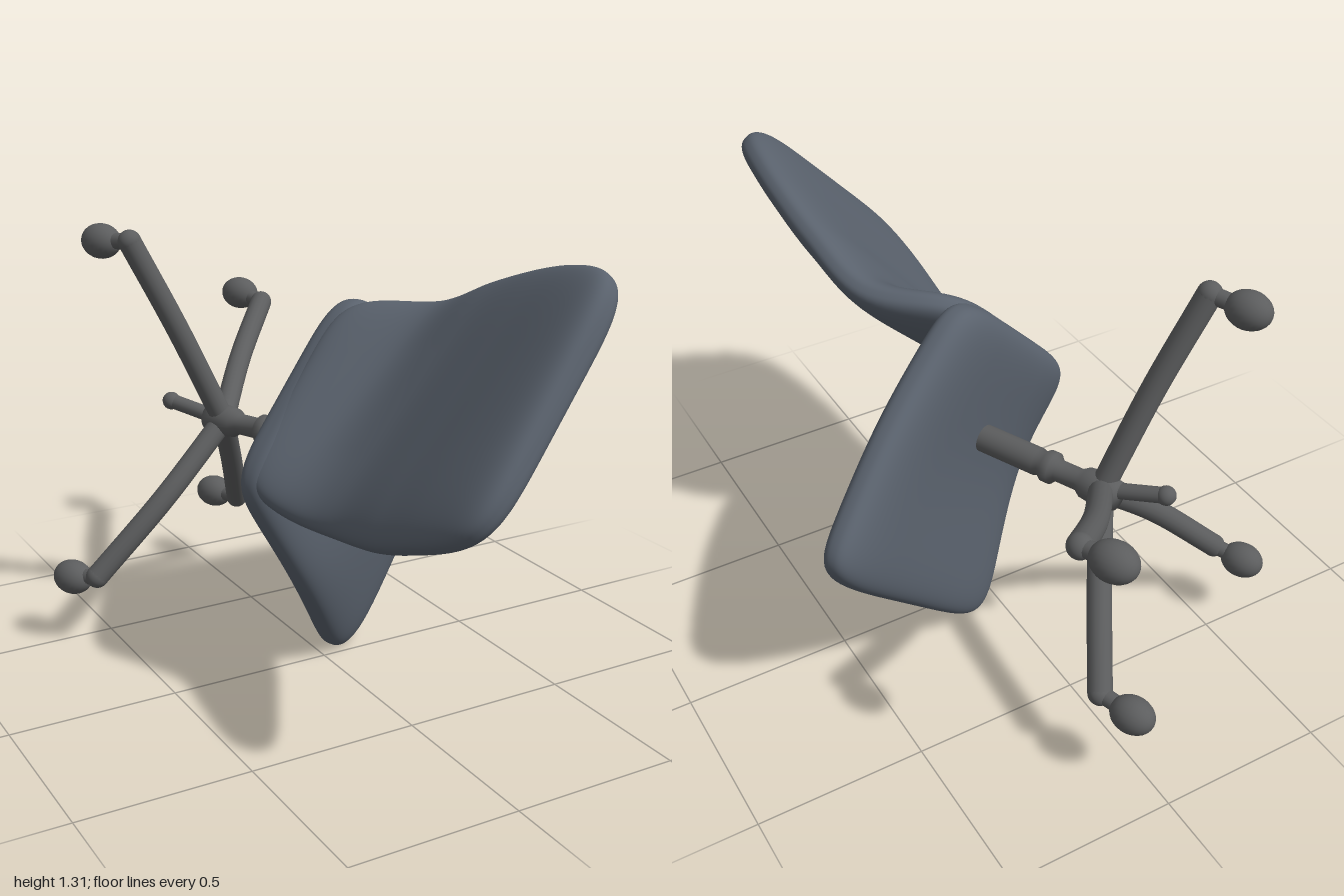
import * as THREE from 'three';

const V = (a) => new THREE.Vector3(...a);
const frameMat = new THREE.MeshStandardMaterial({ color: 0x5c5d5e });
const padMat = new THREE.MeshStandardMaterial({ color: 0x59616c });

// The chair lies tipped over: column axis runs from the hub towards the seat
const axis = new THREE.Vector3(0.4, -0.01, 0.9).normalize();
const hub = new THREE.Vector3(-0.12, 0.66, -0.43);
const axisTurn = new THREE.Quaternion().setFromUnitVectors(new THREE.Vector3(0, 1, 0), axis);

function add(group, name, geometry, material) {
  const mesh = new THREE.Mesh(geometry, material);
  mesh.name = name;
  group.add(mesh);
  return mesh;
}

// Rounded pad lofted between two edge curves; thick = [start, end] half thickness
function cushion(leftPts, rightPts, thick) {
  const left = new THREE.CatmullRomCurve3(leftPts.map(V));
  const right = new THREE.CatmullRomCurve3(rightPts.map(V));
  const mid = (u) => left.getPoint(u).lerp(right.getPoint(u), 0.5);
  const pow = (x, p) => Math.sign(x) * Math.abs(x) ** p;
  const rows = 64, cols = 80, pos = [], index = [];
  for (let i = 0; i <= rows; i++) {
    const v = -Math.cos((Math.PI * i) / rows), u = (v + 1) / 2;
    const edge = Math.max(0, 1 - Math.abs(v) ** 10);
    const half = right.getPoint(u).sub(left.getPoint(u)).multiplyScalar(0.5);
    const along = mid(Math.min(1, u + 0.03)).sub(mid(Math.max(0, u - 0.03)));
    const normal = along.cross(half).normalize();
    const h = THREE.MathUtils.lerp(thick[0], thick[1], u) * edge ** 0.36;
    const centre = mid(u), w = edge ** 0.18;
    for (let j = 0; j < cols; j++) {
      const a = (j / cols) * Math.PI * 2;
      const p = centre.clone()
        .addScaledVector(half, w * pow(Math.cos(a), 0.36))
        .addScaledVector(normal, h * pow(Math.sin(a), 0.78));
      pos.push(p.x, p.y, p.z);
      if (i < rows) {
        const k = (j + 1) % cols, r = i * cols, s = r + cols;
        index.push(r + j, r + k, s + j, r + k, s + k, s + j);
      }
    }
  }
  const g = new THREE.BufferGeometry();
  g.setAttribute('position', new THREE.Float32BufferAttribute(pos, 3));
  g.setIndex(index);
  g.computeVertexNormals();
  return g;
}

export function createModel() {
  const chair = new THREE.Group();
  chair.name = 'swivelChair';

  // Seat, from the hinge edge to the front edge
  add(chair, 'seat', cushion(
    [[-0.355, 0.66, 0.14], [-0.17, 0.34, 0.13], [0.075, -0.065, -0.065]],
    [[0.09, 1.14, -0.02], [0.41, 0.91, -0.18], [0.71, 0.645, -0.36]],
    [0.068, 0.07]), padMat);

  // Backrest, from the hinge edge to the top edge
  add(chair, 'backrest', cushion(
    [[-0.34, 0.64, 0.1], [-0.25, 0.58, 0.25], [-0.2, 0.57, 0.4], [-0.2, 0.61, 0.62], [-0.19, 0.67, 0.8], [-0.16, 0.75, 1.02]],
    [[0.09, 1.12, -0.03], [0.29, 1.11, 0.18], [0.35, 1.2, 0.38], [0.37, 1.27, 0.58], [0.365, 1.3, 0.72], [0.345, 1.315, 0.88]],
    [0.055, 0.062]), padMat);

  // Column with hub and collar
  const profile = [
    [0, -0.06], [0.042, -0.055], [0.05, 0], [0.045, 0.05], [0.032, 0.07], [0.032, 0.14],
    [0.047, 0.155], [0.047, 0.18], [0.036, 0.195], [0.041, 0.21], [0.041, 0.4],
  ].map(([r, t]) => new THREE.Vector2(r, t));
  const column = add(chair, 'column', new THREE.LatheGeometry(profile, 32), frameMat);
  column.position.copy(hub);
  column.quaternion.copy(axisTurn);

  // Short spindle end behind the hub, with a rounded tip
  const ball = new THREE.SphereGeometry(1, 24, 16);
  const spindleEnd = new THREE.Vector3(-0.23, 0.7, -0.58);
  add(chair, 'spindle', new THREE.TubeGeometry(new THREE.LineCurve3(hub, spindleEnd), 1, 0.023, 16), frameMat);
  const knob = add(chair, 'spindleTip', ball, frameMat);
  knob.position.copy(spindleEnd);
  knob.scale.setScalar(0.028);

  // Four base legs: [mid point, tip, caster centre]
  const legs = [
    [[-0.26, 0.97, -0.45], [-0.39, 1.24, -0.48], [-0.44, 1.23, -0.58]],
    [[-0.35, 0.45, -0.39], [-0.57, 0.23, -0.41], [-0.62, 0.21, -0.49]],
    [[0.05, 0.79, -0.65], [0.22, 0.92, -0.83], [0.19, 0.935, -0.93]],
    [[-0.01, 0.45, -0.605], [0.08, 0.26, -0.76], [0.045, 0.255, -0.865]],
  ];
  legs.forEach(([m, t, c]) => {
    const leg = new THREE.Group();
    leg.name = 'baseLeg';
    const tip = V(t), centre = V(c);
    const path = new THREE.CatmullRomCurve3([hub.clone(), V(m), tip]);
    add(leg, 'legArm', new THREE.TubeGeometry(path, 24, 0.035, 16), frameMat);
    const end = add(leg, 'legTip', ball, frameMat);
    end.position.copy(tip);
    end.scale.setScalar(0.035);
    add(leg, 'casterStem', new THREE.TubeGeometry(new THREE.LineCurve3(tip, centre), 1, 0.024, 14), frameMat);
    const caster = add(leg, 'caster', ball, frameMat);
    caster.position.copy(centre);
    caster.quaternion.copy(axisTurn);
    caster.scale.set(0.053, 0.066, 0.053);
    chair.add(leg);
  });

  return chair;
}
